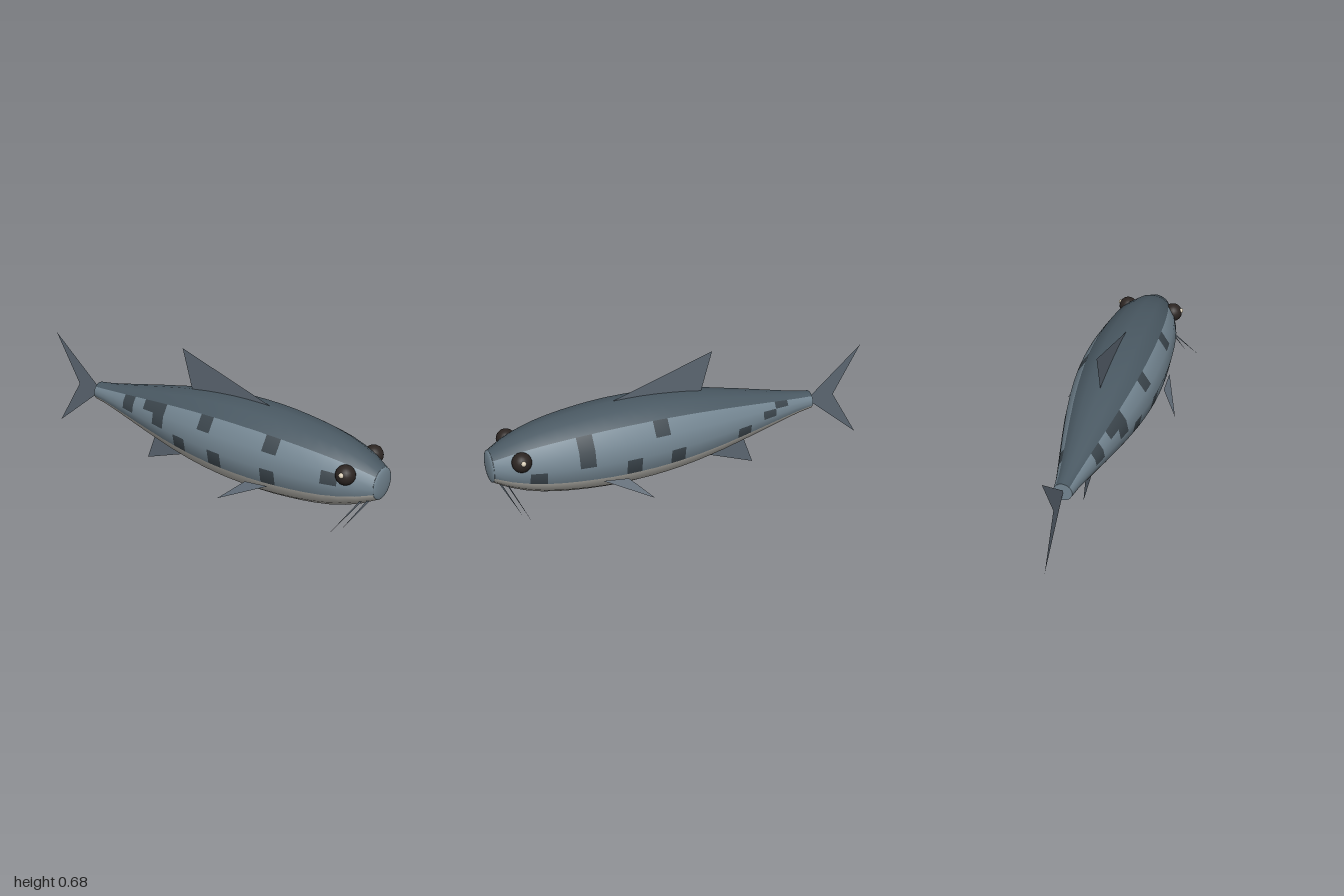
import * as THREE from 'three';

const CY = 0.295, Z0 = 0.985, STEP = 0.0773, SIDES = 16;
const RADII = [0.078, 0.12, 0.15, 0.172, 0.187, 0.198, 0.206, 0.212, 0.215, 0.215, 0.213, 0.208,
  0.2, 0.19, 0.177, 0.163, 0.146, 0.129, 0.111, 0.093, 0.075, 0.058, 0.046];

// Dark scale patches as [ring, row] on each flank
const LEFT_PATCHES = [[2, 3], [5, 1], [5, 2], [8, 3], [10, 1], [11, 3], [16, 3], [18, 2], [19, 1]];
const RIGHT_PATCHES = [[2, 2], [6, 1], [6, 3], [10, 3], [11, 1], [13, 3], [15, 1], [15, 2], [16, 1], [18, 1], [18, 2]];

const paint = (color, side = THREE.FrontSide) => new THREE.MeshStandardMaterial({ color, side });

export function createModel() {
  const fish = new THREE.Group();
  fish.name = 'fish';
  const mats = {
    back: paint(0x4a5963), flank: paint(0x748692), patches: paint(0x3c464d), belly: paint(0xbdbbb4),
    fin: paint(0x5d6873, THREE.DoubleSide), eye: paint(0x2c2522), glint: paint(0xd8ccb6),
  };
  const add = (name, geometry, material, parent = fish) => {
    const mesh = new THREE.Mesh(geometry, material);
    mesh.name = name;
    parent.add(mesh);
    return mesh;
  };

  // Body: round rings along z, faces sorted into colour zones sharing smooth normals
  const pos = [], zones = { back: [], flank: [], patches: [], belly: [] };
  RADII.forEach((r, i) => {
    for (let j = 0; j < SIDES; j++) {
      const a = (j / SIDES) * Math.PI * 2;
      pos.push(Math.sin(a) * r, CY + Math.cos(a) * r, Z0 - i * STEP);
    }
  });
  const zoneOf = (i, j) => {
    const left = j < SIDES / 2;
    const row = (left ? j : SIDES - 1 - j) - 1; // 1..3 are the flank rows
    if (row < 1) return 'back';
    if (row > 3) return 'belly';
    const list = left ? LEFT_PATCHES : RIGHT_PATCHES;
    return list.some(([k, s]) => k === i && s === row) ? 'patches' : 'flank';
  };
  for (let i = 0; i < RADII.length - 1; i++) {
    for (let j = 0; j < SIDES; j++) {
      const n = (j + 1) % SIDES;
      const a = i * SIDES + j, b = i * SIDES + n, c = b + SIDES, d = a + SIDES;
      zones[zoneOf(i, j)].push(a, b, c, a, c, d);
    }
  }
  const whole = new THREE.BufferGeometry();
  whole.setAttribute('position', new THREE.Float32BufferAttribute(pos, 3));
  whole.setIndex(Object.values(zones).flat());
  whole.computeVertexNormals();
  const body = new THREE.Group();
  body.name = 'body';
  fish.add(body);
  for (const [name, index] of Object.entries(zones)) {
    const g = new THREE.BufferGeometry();
    g.setAttribute('position', whole.getAttribute('position'));
    g.setAttribute('normal', whole.getAttribute('normal'));
    g.setIndex(index);
    add(name, g, mats[name], body);
  }

  // Rounded snout and flat tail stump
  const snout = add('snout', new THREE.SphereGeometry(0.079, 32, 16), mats.flank);
  snout.scale.z = 0.19;
  snout.position.set(0, CY, Z0);
  const stump = add('tailStump', new THREE.CircleGeometry(RADII.at(-1), SIDES), mats.flank);
  stump.rotation.y = Math.PI;
  stump.position.set(0, CY, Z0 - STEP * (RADII.length - 1));

  // Thin fins as fans of corner points
  const blade = (name, points) => {
    const g = new THREE.BufferGeometry().setFromPoints(points.map((p) => new THREE.Vector3(...p)));
    const index = [];
    for (let k = 1; k < points.length - 1; k++) index.push(0, k, k + 1);
    g.setIndex(index);
    g.computeVertexNormals();
    return add(name, g, mats.fin);
  };
  blade('dorsalFin', [[0, 0.5, 0.39], [0, 0.675, -0.165], [0, 0.46, -0.105]]);
  blade('analFin', [[0, 0.13, -0.06], [0, 0, -0.4], [0, 0.18, -0.335]]);
  blade('tailFin', [[0, CY, -0.855], [0, 0.552, -1], [0, CY, -0.705], [0, 0.043, -1]]);

  // Paired parts
  for (const [side, s] of [['left', 1], ['right', -1]]) {
    blade(side + 'PectoralFin', [[s * 0.203, 0.207, 0.49], [s * 0.205, 0.192, 0.36], [s * 0.292, 0.106, 0.26]]);
    blade(side + 'FrontWhisker', [[s * 0.05, 0.217, 0.957], [s * 0.07, 0.222, 0.949], [s * 0.196, 0.105, 0.892]]);
    blade(side + 'RearWhisker', [[s * 0.066, 0.213, 0.925], [s * 0.086, 0.217, 0.92], [s * 0.273, 0.105, 0.868]]);
    add(side + 'Eye', new THREE.SphereGeometry(0.048, 20, 14), mats.eye).position.set(s * 0.125, 0.354, 0.863);
    add(side + 'EyeGlint', new THREE.SphereGeometry(0.013, 12, 8), mats.glint).position.set(s * 0.167, 0.369, 0.866);
  }
  return fish;
}
